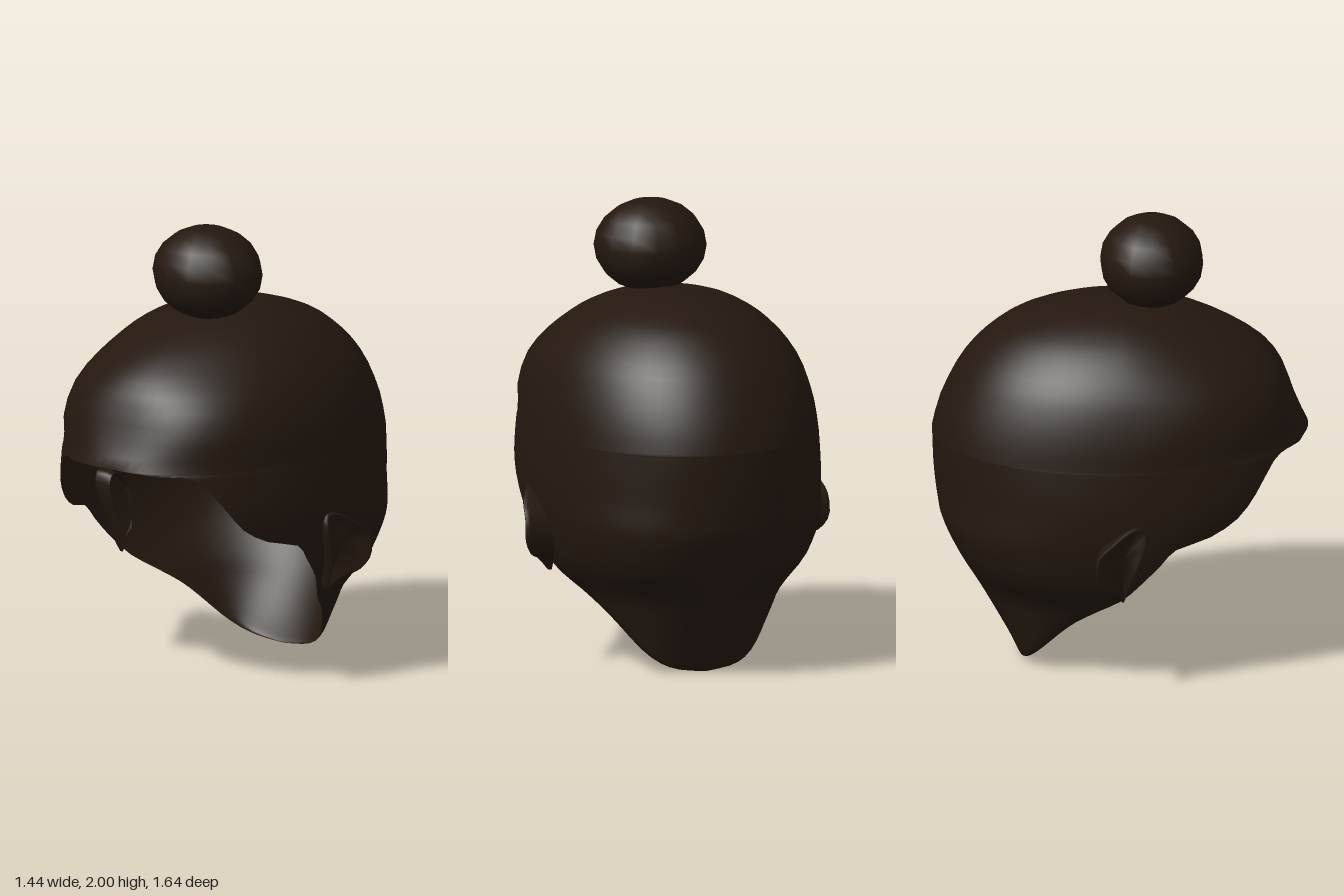
import * as THREE from 'three';
import { mergeVertices } from 'three/addons/utils/BufferGeometryUtils.js';

const hairMat = new THREE.MeshStandardMaterial({ color: 0x24180f, side: THREE.DoubleSide });
const { smoothstep, clamp } = THREE.MathUtils;

// Surface through a grid of points: rows x columns, outward when columns run towards +x at the back
function gridSurface(rows) {
  const n = rows[0].length, index = [];
  for (let i = 0; i < rows.length - 1; i++) {
    for (let j = 0; j < n - 1; j++) {
      const a = i * n + j, b = a + 1, c = a + n, d = c + 1;
      index.push(a, c, b, b, c, d);
    }
  }
  const geo = new THREE.BufferGeometry();
  geo.setAttribute('position', new THREE.Float32BufferAttribute(rows.flat(2), 3));
  geo.setIndex(index);
  const merged = mergeVertices(geo, 1e-4);
  merged.computeVertexNormals();
  return merged;
}

// Horizontal sections: height, half width, front z, back z, z of the open rim
const SECTIONS = [
  [0.005, 0, 0.5, -0.43, -0.43],
  [0.02, 0.12, 0.5, -0.44, -0.42],
  [0.05, 0.2, 0.5, -0.455, -0.395],
  [0.11, 0.27, 0.5, -0.485, -0.345],
  [0.2, 0.335, 0.5, -0.535, -0.27],
  [0.27, 0.385, 0.5, -0.575, -0.2],
  [0.34, 0.44, 0.52, -0.615, -0.1],
  [0.41, 0.505, 0.55, -0.655, -0.005],
  [0.5, 0.56, 0.6, -0.705, 0.075],
  [0.6, 0.595, 0.66, -0.755, 0.165],
  [0.67, 0.612, 0.7, -0.782, 0.23],
  [0.71, 0.62, 0.73, -0.79, 0.38],
  [0.78, 0.628, 0.79, -0.8, 0.5],
  [0.88, 0.63, 0.83, -0.81, 0.58],
  [1.005, 0.62, 0.83, -0.815, 0.66],
  [1.035, 0.617, 0.825, -0.815, 0.72],
  [1.045, 0.615, 0.82, -0.815, 0.82],
  [1.16, 0.6, 0.765, -0.785, 0.765],
  [1.3, 0.56, 0.715, -0.72, 0.715],
  [1.4, 0.505, 0.65, -0.65, 0.65],
  [1.48, 0.435, 0.545, -0.565, 0.545],
  [1.54, 0.36, 0.42, -0.475, 0.42],
  [1.59, 0.26, 0.28, -0.34, 0.28],
  [1.617, 0.15, 0.15, -0.21, 0.15],
  [1.63, 0, 0, 0, 0],
];

// Open cap of hair, from the point at the nape up to the crown
function hairShell() {
  const curveA = new THREE.CatmullRomCurve3(SECTIONS.map(s => new THREE.Vector3(s[0], s[1], s[2])), false, 'catmullrom');
  const curveB = new THREE.CatmullRomCurve3(SECTIONS.map(s => new THREE.Vector3(s[3], s[4], 0)), false, 'catmullrom');
  const steps = (SECTIONS.length - 1) * 2, cols = 80, rows = [];
  for (let i = 0; i <= steps; i++) {
    const { x: y, y: w, z: front } = curveA.getPoint(i / steps);
    const { x: back, y: rim } = curveB.getPoint(i / steps);
    const zc = Math.min(0, rim);
    let reach = Math.PI / 2;
    if (y > 1.044) reach = Math.PI;
    else if (rim > 0) reach = Math.PI - Math.acos(Math.min(1, rim / front));
    // fuller above the nape, square at the brow, slimmer over the forehead
    const backPower = 2 / (2.1 + 0.3 * smoothstep(0.85 - y, 0, 0.25) - 0.4 * smoothstep(0.5 - y, 0, 0.2));
    const frontPower = 2 / (2 + 0.35 * smoothstep(y, 1.05, 1.2) - 0.5 * smoothstep(y, 1.25, 1.5));
    const row = [];
    for (let j = 0; j <= cols; j++) {
      // columns past the rim collapse onto it
      const a = clamp((2 * j / cols - 1) * Math.PI, -reach, reach);
      const s = Math.sin(a), c = Math.cos(a);
      const e = c > 0 ? backPower : frontPower;
      const x = w * Math.sign(s) * Math.abs(s) ** e;
      const z = zc + (c > 0 ? back - zc : front - zc) * Math.abs(c) ** e;
      row.push([x, y, z]);
    }
    rows.push(row);
  }
  return gridSurface(rows);
}

// Cupped ear: outline in (z, y, x) lofted through back, rim, and hollow
function earGeometry(side) {
  const outline = [
    [0.1, 0.74, 0.635], [0.085, 0.785, 0.628], [0.03, 0.785, 0.652], [-0.05, 0.735, 0.697],
    [-0.11, 0.68, 0.713], [-0.12, 0.58, 0.715], [-0.085, 0.515, 0.68], [-0.03, 0.48, 0.62],
    [0, 0.42, 0.56], [0.02, 0.49, 0.59], [0.05, 0.58, 0.63], [0.085, 0.67, 0.635],
  ].map(p => new THREE.Vector3(p[2], p[1], p[0]));
  const loop = new THREE.CatmullRomCurve3(outline, true);
  const centre = new THREE.Vector3(0.64, 0.64, -0.01);
  // scale about the centre, shift in x
  const rings = [[0.95, -0.12], [1, -0.06], [1.01, -0.02], [1, 0], [0.92, 0.006], [0.75, -0.008], [0.4, -0.008], [0, 0]];
  const rows = rings.map(([k, dx]) => {
    const row = [];
    for (let j = 0; j <= 30; j++) {
      const p = loop.getPoint((j % 30) / 30).sub(centre).multiplyScalar(k).add(centre);
      row.push([side * Math.max(p.x + dx, 0.545), p.y, p.z]);
    }
    return side > 0 ? row : row.reverse();
  });
  return gridSurface(rows);
}

export function createModel() {
  const model = new THREE.Group();
  model.name = 'hairWithBun';
  const add = (name, geometry) => {
    const mesh = new THREE.Mesh(geometry, hairMat);
    mesh.name = name;
    model.add(mesh);
    return mesh;
  };

  add('hairCap', hairShell());
  add('leftEar', earGeometry(1));
  add('rightEar', earGeometry(-1));

  // Round bun on the crown
  const bun = add('bun', new THREE.SphereGeometry(1, 14, 10));
  bun.scale.set(0.25, 0.205, 0.228);
  bun.position.set(0.02, 1.795, 0.14);
  return model;
}
